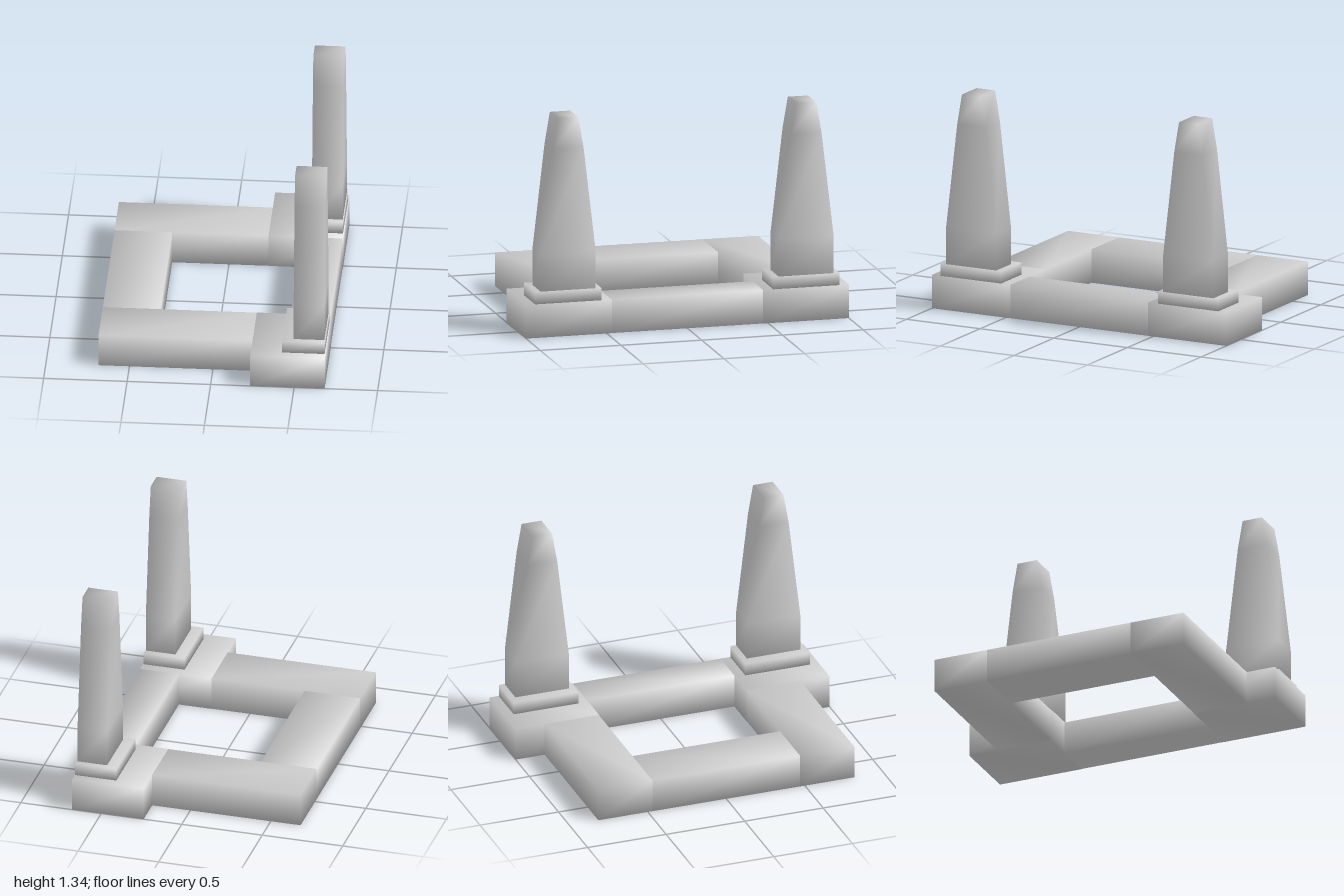
import * as THREE from 'three';
import { mergeVertices } from 'three/addons/utils/BufferGeometryUtils.js';

const material = new THREE.MeshStandardMaterial({ color: 0xcccccc });

// Weld all corners so the shading runs softly across the edges.
function soften(geometry) {
  geometry.deleteAttribute('normal');
  geometry.deleteAttribute('uv');
  const welded = mergeVertices(geometry);
  welded.computeVertexNormals();
  return welded;
}

function addPart(group, name, geometry) {
  const mesh = new THREE.Mesh(soften(geometry), material);
  mesh.name = name;
  group.add(mesh);
}

// Box given by its limits on each axis.
function block(x0, x1, y0, y1, z0, z1) {
  return new THREE.BoxGeometry(x1 - x0, y1 - y0, z1 - z0)
    .translate((x0 + x1) / 2, (y0 + y1) / 2, (z0 + z1) / 2);
}

// Tapered pillar: [height, half depth] at each level.
function pillar(x0, x1, zMid) {
  const levels = [[0.28, 0.17], [0.51, 0.17], [1.15, 0.095], [1.335, 0.063]];
  const geometry = new THREE.BoxGeometry(x1 - x0, 3, 2, 1, 3, 1);
  const p = geometry.attributes.position;
  for (let i = 0; i < p.count; i++) {
    const [y, half] = levels[Math.round(p.getY(i) + 1.5)];
    p.setXYZ(i, p.getX(i) + (x0 + x1) / 2, y, zMid + Math.sign(p.getZ(i)) * half);
  }
  return geometry;
}

export function createModel() {
  const group = new THREE.Group();
  group.name = 'pillaredFrame';
  const top = 0.205;

  // Cross bars joining the two sides
  addPart(group, 'rightCrossBar', block(-0.685, -0.34, 0, top, -0.47, 0.47));
  addPart(group, 'leftCrossBar', block(0.44, 0.68, 0, top, -0.47, 0.47));

  // Side bar, corner block, plinth and pillar, front and back
  for (const [side, s] of [['front', 1], ['back', -1]]) {
    const mirrored = (x0, x1, y0, y1, z0, z1) =>
      block(x0, x1, y0, y1, Math.min(s * z0, s * z1), Math.max(s * z0, s * z1));
    addPart(group, side + 'SideBar', mirrored(-0.685, 0.237, 0, top, 0.47, 0.815));
    addPart(group, side + 'CornerBlock', mirrored(0.237, 0.682, 0, top, 0.468, 1));
    addPart(group, side + 'Plinth', mirrored(0.423, 0.678, top, 0.28, 0.532, 0.943));
    addPart(group, side + 'Pillar', pillar(0.49, 0.674, s * 0.737));
  }
  return group;
}
